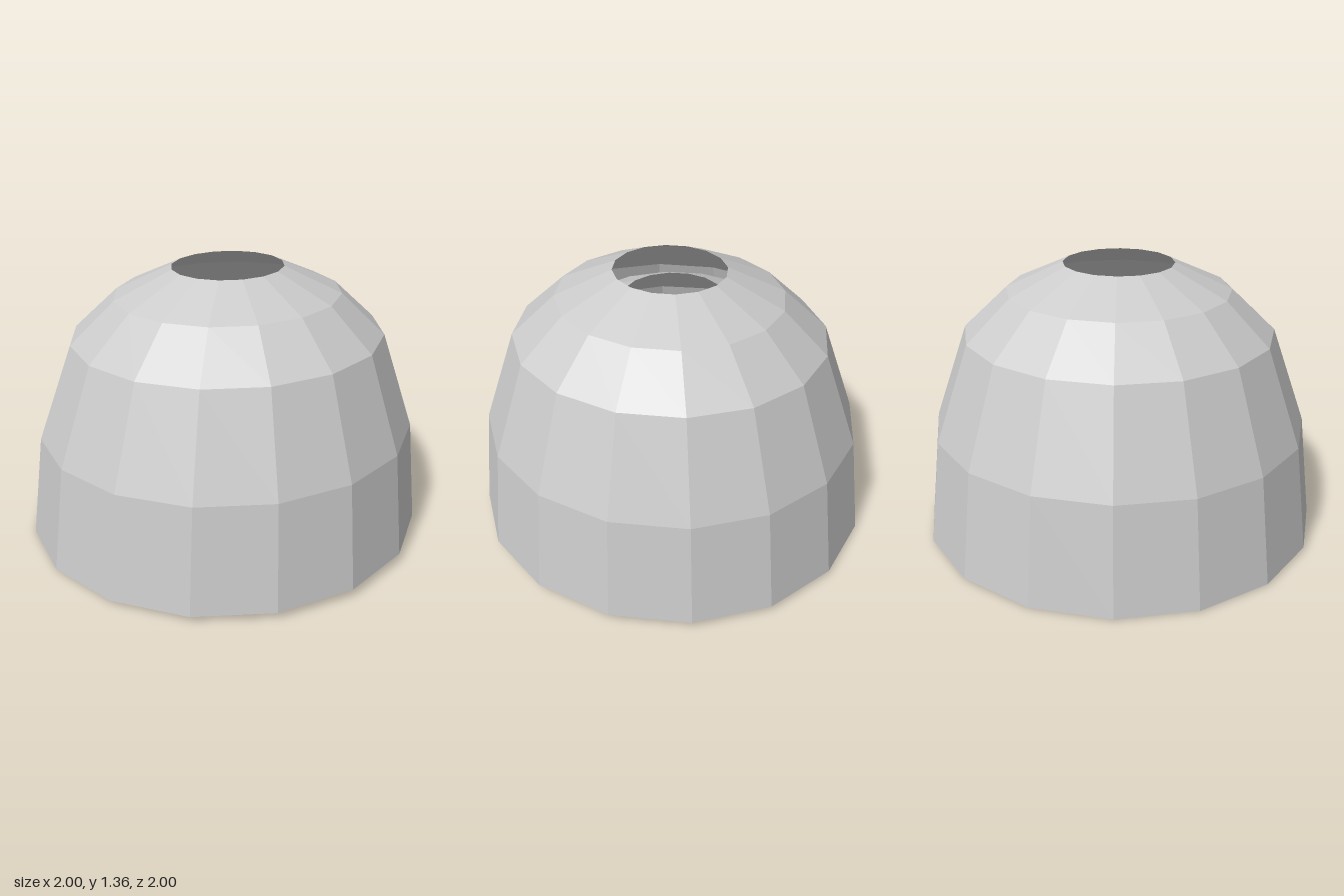
import * as THREE from 'three';

const SIDES = 16;
// [radius, height] from the open rim up to the hole at the crown
const PROFILE = [[1, 0], [0.94, 0.522], [0.773, 0.997], [0.557, 1.2], [0.275, 1.33]];

function domeShell(name, scale, material) {
  const points = PROFILE.map(([r, h]) => new THREE.Vector2(r * scale, h * scale));
  const mesh = new THREE.Mesh(new THREE.LatheGeometry(points, SIDES), material);
  mesh.name = name;
  return mesh;
}

export function createModel() {
  const group = new THREE.Group();
  group.name = 'domeShade';
  const material = new THREE.MeshStandardMaterial({
    color: 0xcccccc, flatShading: true, side: THREE.DoubleSide,
  });

  // Outer shell, sitting slightly askew: rings tilt and lean a little
  const outer = domeShell('outerShell', 1, material);
  const pos = outer.geometry.attributes.position;
  for (let i = 0; i < pos.count; i++) {
    const x = pos.getX(i), y = pos.getY(i), z = pos.getZ(i);
    pos.setXYZ(i, x + 0.012 * y, y + 0.025 + 0.02 * x - 0.0125 * z, z - 0.009 * y);
  }
  outer.geometry.computeVertexNormals();

  // Level inner shell, a smaller copy nested inside with a gap
  const inner = domeShell('innerShell', 0.9, material);
  inner.position.y = 0.01;

  group.add(outer, inner);
  return group;
}
